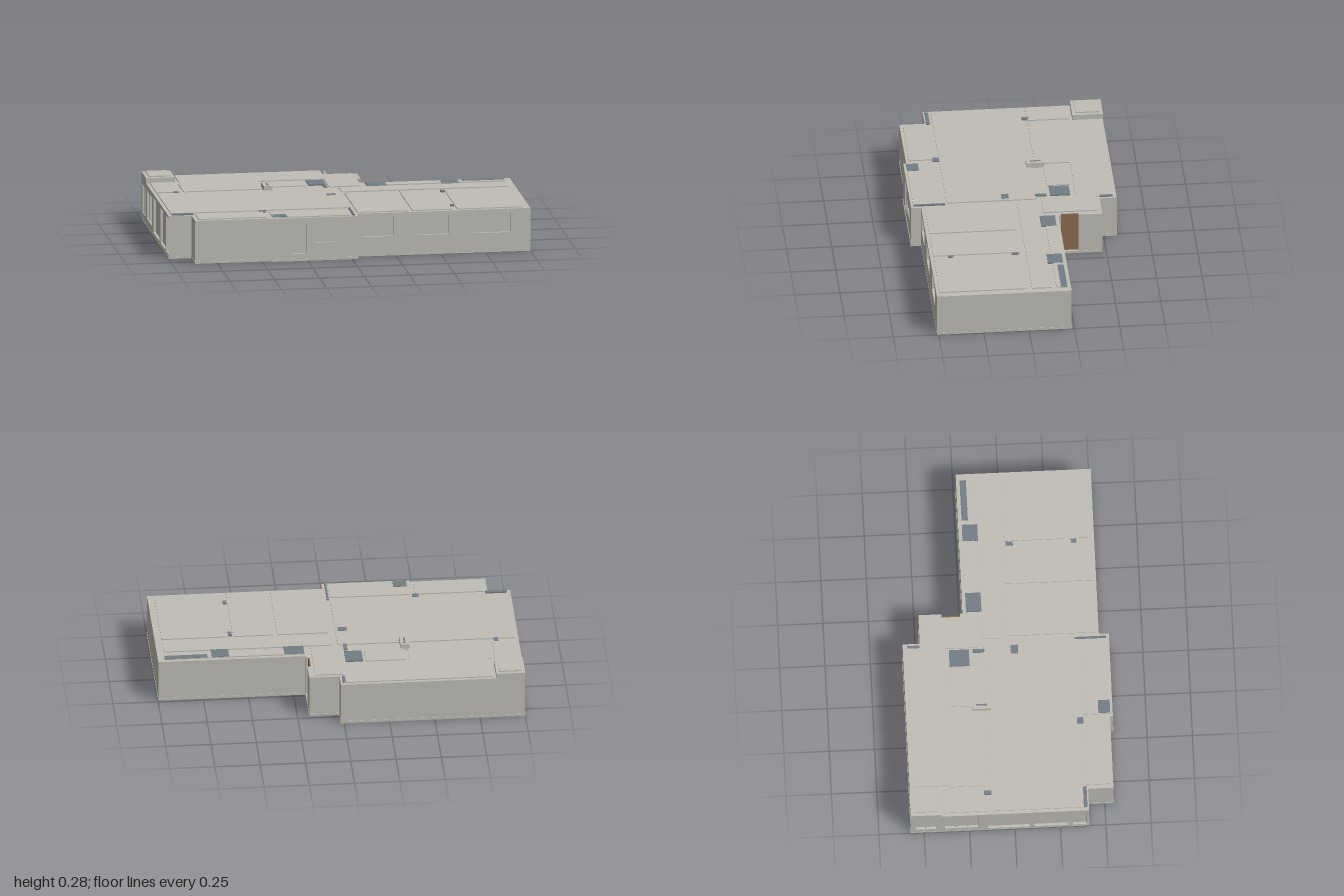
import * as THREE from 'three';

const plaster = new THREE.MeshStandardMaterial({ color: 0xbfbdb5 });
plaster.name = 'pale plaster';
const slate = new THREE.MeshStandardMaterial({ color: 0x737d85 });
slate.name = 'slate blue';
const wood = new THREE.MeshStandardMaterial({ color: 0x8c6d50 });
wood.name = 'door brown';

const FLOOR = 0.014, WALL = 0.242, ROOF = 0.248;

export function createModel() {
  const model = new THREE.Group();
  model.name = 'house';

  const add = (name, geometry, material = plaster, parent = model) => {
    const mesh = new THREE.Mesh(geometry, material);
    mesh.name = name;
    parent.add(mesh);
    return mesh;
  };
  // Box given by its limits on each axis
  const block = (name, x0, x1, y0, y1, z0, z1, material, parent) => {
    const mesh = add(name, new THREE.BoxGeometry(x1 - x0, y1 - y0, z1 - z0), material, parent);
    mesh.position.set((x0 + x1) / 2, (y0 + y1) / 2, (z0 + z1) / 2);
    return mesh;
  };
  // Plan outline in (x, z), raised from y0 to y1
  const plan = (name, points, y0, y1) => {
    const shape = new THREE.Shape(points.map(([x, z]) => new THREE.Vector2(x, -z)));
    const geometry = new THREE.ExtrudeGeometry(shape, { depth: y1 - y0, bevelEnabled: false });
    geometry.rotateX(-Math.PI / 2);
    geometry.translate(0, y0, 0);
    return add(name, geometry);
  };

  // Floor slab
  plan('floorSlab', [
    [-1, -0.575], [0.02, -0.575], [0.02, -0.48], [0.187, -0.48], [0.187, -0.237], [1, -0.237], [1, 0.51],
    [0.033, 0.51], [0.033, 0.567], [-0.455, 0.567], [-0.455, 0.55], [-0.875, 0.55], [-0.875, 0.41], [-1, 0.41],
  ], 0, FLOOR);

  // Wall mass, with a notch for the entrance
  plan('walls', [
    [-0.985, -0.573], [0.018, -0.573], [0.018, -0.478], [0.185, -0.478], [0.185, -0.35], [0.165, -0.35],
    [0.165, -0.25], [0.185, -0.25], [0.185, -0.235], [0.998, -0.235], [0.998, 0.495], [0.031, 0.495],
    [0.031, 0.55], [-0.455, 0.55], [-0.455, 0.548], [-0.873, 0.548], [-0.873, 0.408], [-0.985, 0.408],
  ], FLOOR, WALL);

  // Outer wall skins with recessed openings: [s0, s1, y0, y1, number of panes]
  const facade = (name, s0, s1, openings) => {
    const group = new THREE.Group();
    group.name = name;
    model.add(group);
    const rect = (Type, a, b, c, d) => new Type([[a, c], [b, c], [b, d], [a, d]].map((p) => new THREE.Vector2(...p)));
    const shape = rect(THREE.Shape, s0, s1, FLOOR, WALL);
    for (const [a, b, c, d, panes] of openings) {
      shape.holes.push(rect(THREE.Path, a, b, c, d));
      for (let i = 1; i < panes; i++) {
        const s = a + (b - a) * i / panes;
        block('mullion', s - 0.006, s + 0.006, c, d, 0, 0.009, plaster, group);
      }
    }
    add(name + 'Skin', new THREE.ExtrudeGeometry(shape, { depth: 0.014, bevelEnabled: false }), plaster, group);
    return group;
  };
  facade('frontLeftFacade', 0.031, 0.998, [
    [0.065, 0.237, 0.11, 0.22, 1], [0.37, 0.543, 0.11, 0.22, 1], [0.686, 0.888, 0.11, 0.22, 1],
  ]).position.z = 0.495;
  facade('frontCentreFacade', -0.455, 0.031, [
    [-0.34, -0.257, 0.04, 0.205, 1], [-0.212, -0.085, 0.1, 0.155, 2],
  ]).position.z = 0.55;
  const side = facade('rightFacade', -0.573, 0.408, [
    [-0.545, -0.435, 0.05, 0.21, 2], [-0.385, -0.2, 0.05, 0.21, 3],
    [-0.15, 0.08, 0.025, 0.225, 1], [0.105, 0.295, 0.025, 0.225, 1], [0.32, 0.395, 0.025, 0.225, 1],
  ]);
  side.position.x = -0.985;
  side.rotation.y = -Math.PI / 2;

  // Entrance door in its notch
  block('entranceDoor', 0.165, 0.172, FLOOR, WALL - 0.002, -0.348, -0.252, wood);

  // Thin ceiling panels, one for each room: [x0, x1, z0, z1]
  const rooms = [
    [-0.82, 0, -0.555, -0.35], [-0.83, -0.38, -0.35, -0.155], [-0.36, -0.14, -0.325, -0.2],
    [-0.02, 0.15, -0.46, -0.155], [-0.98, -0.85, -0.39, -0.155],
    [-0.98, 0, -0.13, 0.365], [-0.85, -0.475, 0.4, 0.53], [-0.44, 0, 0.4, 0.55],
    [0.03, 0.96, -0.13, -0.02], [0.19, 0.96, -0.215, -0.155],
    [0.04, 0.32, 0.01, 0.49], [0.345, 0.565, 0.01, 0.49], [0.595, 0.96, 0.01, 0.49],
  ];
  for (const [x0, x1, z0, z1] of rooms) block('ceilingPanel', x0, x1, WALL, ROOF, z0, z1);

  // Slate patches lying in the roof
  const patches = [
    [-0.125, -0.03, -0.32, -0.21], [0.19, 0.3, -0.215, -0.13], [0.605, 0.7, -0.215, -0.13],
    [0.725, 0.96, -0.215, -0.18], [-0.01, 0.005, -0.55, -0.48], [-0.05, -0.03, -0.19, -0.125],
    [-0.065, -0.015, 0.02, 0.06], [-0.885, -0.86, -0.165, -0.125], [0.57, 0.59, 0.02, 0.06],
    [0.57, 0.59, 0.38, 0.41], [-0.98, -0.86, 0.38, 0.4], [-0.49, -0.455, 0.365, 0.4],
    [-0.435, -0.36, 0.485, 0.55], [0.005, 0.016, 0.375, 0.548],
  ];
  for (const [x0, x1, z0, z1] of patches) block('roofPatch', x0, x1, WALL, ROOF + 0.0015, z0, z1, slate);

  // Raised boxes on the roof
  block('cornerBox', -1, -0.84, WALL, 0.272, -0.575, -0.405);
  block('cornerBoxLid', -0.98, -0.86, 0.272, 0.279, -0.555, -0.425);
  block('chimney', -0.39, -0.342, WALL, 0.273, -0.207, -0.105);
  block('chimneyOpening', -0.37, -0.361, 0.273, 0.2745, -0.187, -0.125, slate);

  return model;
}
